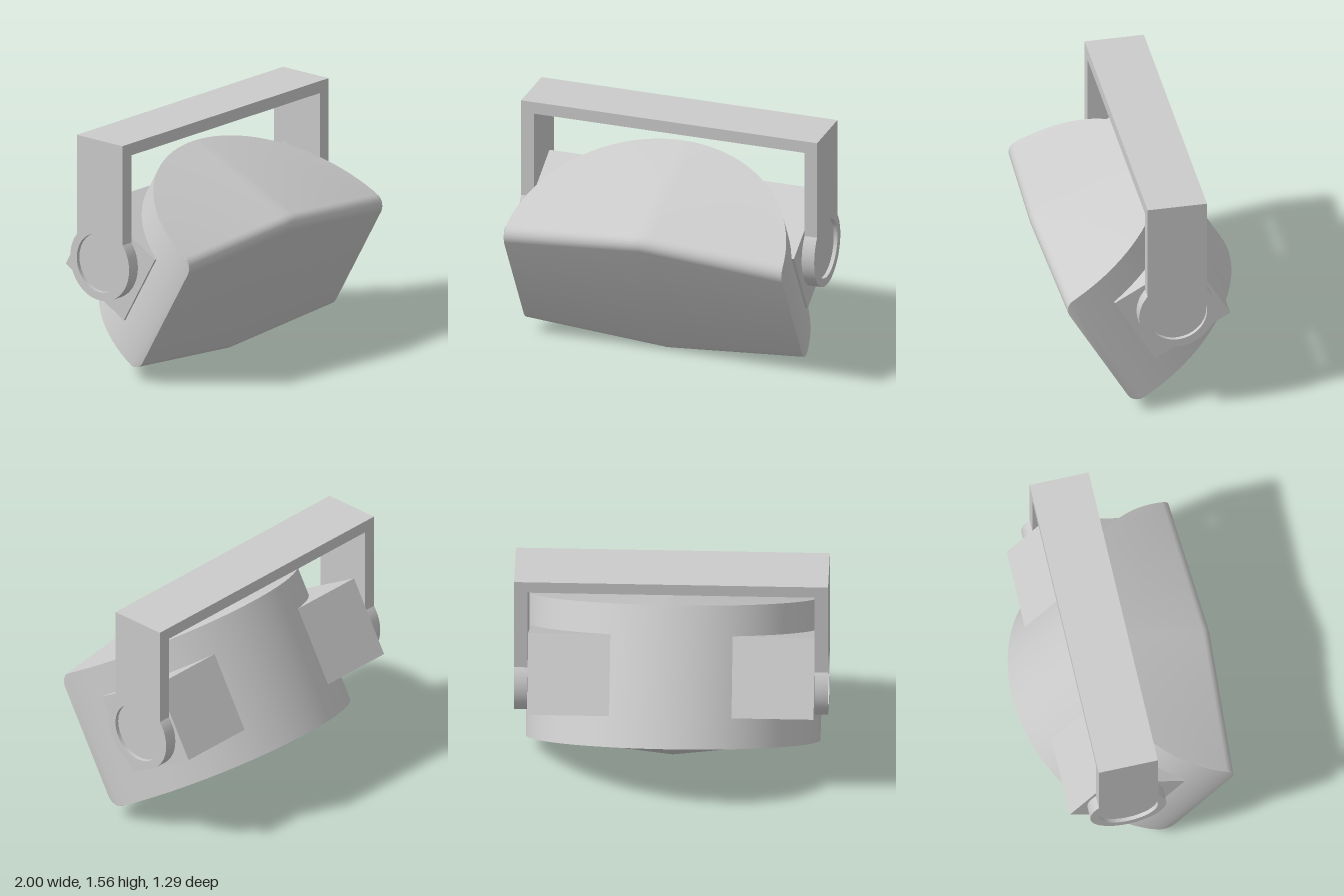
import * as THREE from 'three';
import { toCreasedNormals } from 'three/addons/utils/BufferGeometryUtils.js';

const material = new THREE.MeshStandardMaterial({ color: 0xcccccc });
const PIVOT_Y = 0.755, PIVOT_Z = -0.11;

function add(parent, name, geometry, x = 0, y = 0, z = 0) {
  const mesh = new THREE.Mesh(geometry, material);
  mesh.name = name;
  mesh.position.set(x, y, z);
  parent.add(mesh);
  return mesh;
}

// Lamp housing: half-round plan, flat front with rounded lips, taller at the middle of the front
function housingGeometry() {
  const halfWidth = 0.94, front = 0.576, depth = 0.927, backH = 0.46, rise = 0.112, r = 0.08;
  const stations = 48, arcSteps = 6;
  const positions = [], index = [];
  const ringSize = (arcSteps + 2) * 2;

  for (let i = 0; i <= stations; i++) {
    const phi = (i / stations) * Math.PI;
    const x = -halfWidth * Math.cos(phi);
    const back = front - depth * Math.sin(phi);
    const peak = rise * (1 - Math.abs(x) / halfWidth);
    const lipStart = Math.max(back, front - r);
    const a0 = Math.asin(Math.min(1, (lipStart - (front - r)) / r));
    const profile = [[back, a0]];
    for (let k = 0; k <= arcSteps; k++) {
      const a = a0 + (Math.PI / 2 - a0) * (k / arcSteps);
      profile.push([front - r + r * Math.sin(a), a]);
    }
    const half = profile.map(([z, a]) => {
      const t = (z - back) / Math.max(front - back, 1e-6);
      return [backH + peak * t - r * (1 - Math.cos(a)), z];
    });
    half.forEach(([y, z]) => positions.push(x, y, z));
    half.reverse().forEach(([y, z]) => positions.push(x, -y, z));
  }
  for (let i = 0; i < stations; i++) {
    for (let j = 0; j < ringSize; j++) {
      const n = (j + 1) % ringSize;
      const a = i * ringSize + j, b = i * ringSize + n;
      const c = a + ringSize, d = b + ringSize;
      index.push(a, b, c, b, d, c);
    }
  }
  const geometry = new THREE.BufferGeometry();
  geometry.setAttribute('position', new THREE.Float32BufferAttribute(positions, 3));
  geometry.setIndex(index);
  return toCreasedNormals(geometry, 0.6);
}

// Bracket arm: straight strap ending in a round eye with a hole
function armGeometry(thickness) {
  const w = 0.1925, R = 0.248, top = 1.57 - PIVOT_Y;
  const a = Math.acos(w / R);
  const shape = new THREE.Shape();
  shape.moveTo(w, top);
  shape.lineTo(-w, top);
  shape.absarc(0, 0, R, Math.PI - a, 2 * Math.PI + a, false);
  shape.closePath();
  const hole = new THREE.Path();
  hole.absarc(0, 0, 0.193, 0, Math.PI * 2, true);
  shape.holes.push(hole);
  const geometry = new THREE.ExtrudeGeometry(shape, { depth: thickness, bevelEnabled: false, curveSegments: 32 });
  geometry.rotateY(Math.PI / 2);
  return toCreasedNormals(geometry, 0.5);
}

export function createModel() {
  const model = new THREE.Group();
  model.name = 'floodlight';

  // Tilted lamp head
  const head = new THREE.Group();
  head.name = 'lampHead';
  head.position.set(0, PIVOT_Y, PIVOT_Z);
  head.rotation.x = Math.PI / 6;
  model.add(head);
  add(head, 'housing', housingGeometry());
  add(head, 'mountingBlock', new THREE.BoxGeometry(1.826, 0.524, 0.565), 0, 0, 0.0155);

  // U-shaped bracket
  const bracket = new THREE.Group();
  bracket.name = 'bracket';
  model.add(bracket);
  const t = 0.085;
  add(bracket, 'crossbar', new THREE.BoxGeometry(2 - 2 * t, 0.08, 0.385), 0, 1.53, PIVOT_Z);
  for (const side of [1, -1]) {
    const label = side > 0 ? 'left' : 'right';
    add(bracket, label + 'Arm', armGeometry(t), side > 0 ? 1 - t : -1, PIVOT_Y, PIVOT_Z);
    // Recessed pivot cap inside the eye
    const cap = new THREE.CylinderGeometry(0.193, 0.193, 0.06, 32);
    cap.rotateZ(Math.PI / 2);
    add(bracket, label + 'PivotCap', cap, side * 0.945, PIVOT_Y, PIVOT_Z);
  }
  return model;
}
